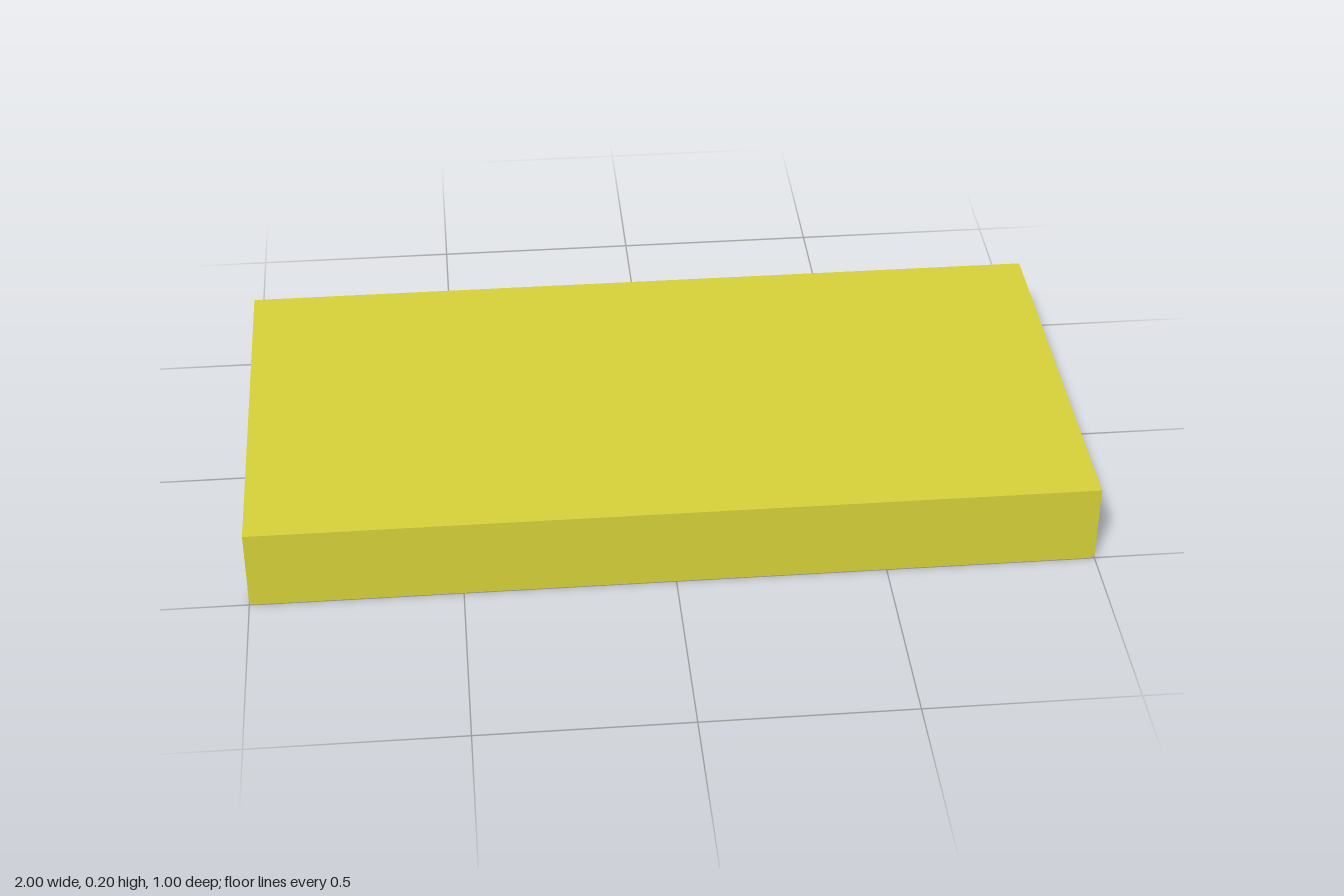
import * as THREE from 'three';

const material = (color) => new THREE.MeshStandardMaterial({ color, flatShading: true });

export function createModel() {
  const model = new THREE.Group();
  const yellow = material(0xd8d43a);
  const teal = material(0x1fa8bc);
  const grey = material(0xbfbfc4);
  const red = material(0xd07d8d);

  const add = (name, geometry, mat) => {
    const mesh = new THREE.Mesh(geometry, mat);
    mesh.name = name;
    model.add(mesh);
    return mesh;
  };

  // Block between two heights whose underside is drawn in on each side
  function taperedBlock(x, z0, z1, y0, y1, inX, inZ0, inZ1) {
    const g = new THREE.BoxGeometry(1, 1, 1).toNonIndexed();
    const p = g.attributes.position;
    for (let i = 0; i < p.count; i++) {
      const low = p.getY(i) < 0 ? 1 : 0;
      const px = Math.sign(p.getX(i)) * (x - low * inX);
      const pz = p.getZ(i) < 0 ? z0 + low * inZ0 : z1 - low * inZ1;
      p.setXYZ(i, px, low ? y0 : y1, pz);
    }
    g.computeVertexNormals();
    return g;
  }

  // Main slab with a lip along the front and the back: [z, y] profile run along x
  const profile = [[0.5, 0.008], [0.46, 0.008], [0.46, 0.065], [-0.437, 0.065],
    [-0.437, 0.015], [-0.5, 0.015], [-0.5, 0.2], [0.5, 0.2]];
  const bodyShape = new THREE.Shape(profile.map(([z, y]) => new THREE.Vector2(-z, y)));
  const body = new THREE.ExtrudeGeometry(bodyShape, { depth: 2, bevelEnabled: false });
  body.rotateY(Math.PI / 2).translate(-1, 0, 0);
  add('body', body, yellow);

  // Underside plate with six rectangular pockets
  const rect = (path, x0, x1, z0, z1) =>
    path.moveTo(x0, z0).lineTo(x1, z0).lineTo(x1, z1).lineTo(x0, z1).closePath();
  const plateShape = rect(new THREE.Shape(), -1, 1, -0.437, 0.46);
  for (const side of [-0.5, 0.5]) {
    for (const z of [-0.2, 0.05, 0.3]) {
      plateShape.holes.push(rect(new THREE.Path(), side - 0.25, side + 0.25, z - 0.05, z + 0.05));
      const floor = add('pocketFloor', new THREE.BoxGeometry(0.5, 0.004, 0.1), grey);
      floor.position.set(side, 0.066, z);
    }
  }
  const plate = (yTop, depth) =>
    new THREE.ExtrudeGeometry(plateShape, { depth, bevelEnabled: false })
      .rotateX(Math.PI / 2).translate(0, yTop, 0);
  add('undersidePlate', plate(0.065, 0.023), yellow);

  // Lowest layer of the plate, chamfered at both ends
  const layer = plate(0.042, 0.007);
  const p = layer.attributes.position;
  for (let i = 0; i < p.count; i++) {
    if (p.getY(i) < 0.038 && Math.abs(p.getX(i)) > 0.95) p.setX(i, Math.sign(p.getX(i)) * 0.992);
  }
  layer.computeVertexNormals();
  add('chamferedPlate', layer, yellow);

  // Tapered block in the middle of the front lip, with a red underside
  add('centreBlock', taperedBlock(0.12, 0.13, 0.46, 0.012, 0.036, 0.02, 0.02, 0), yellow);
  const pad = add('centreBlockPad', new THREE.PlaneGeometry(0.2, 0.31), red);
  pad.rotation.x = Math.PI / 2;
  pad.position.set(0, 0.0112, 0.305);

  // Teal strips under the lips, and the yellow face covering the front one
  add('frontStrip', taperedBlock(1, 0.46, 0.499, 0, 0.008, 0.01, 0.01, 0), teal);
  add('backStrip', taperedBlock(1, -0.5, -0.437, 0.007, 0.015, 0.01, 0.01, 0.01), teal);
  add('frontStripFace', taperedBlock(1, 0.499, 0.5, 0, 0.008, 0.01, 0, 0), yellow);

  return model;
}
